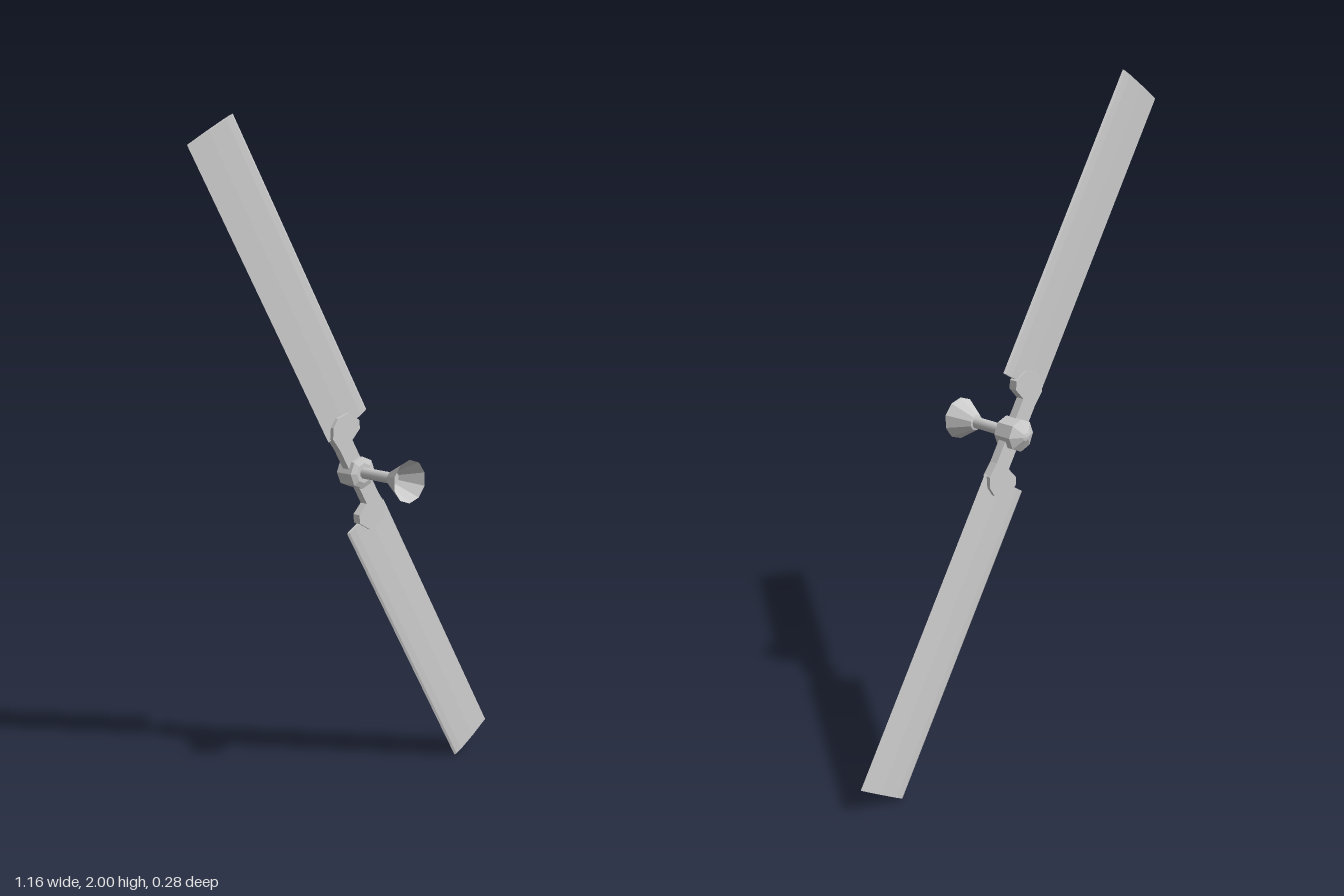
import * as THREE from 'three';

const flat = new THREE.MeshStandardMaterial({ color: 0xcccccc, flatShading: true, side: THREE.DoubleSide });
const smooth = new THREE.MeshStandardMaterial({ color: 0xcccccc });

function part(name, geometry, material = flat) {
  const mesh = new THREE.Mesh(geometry, material);
  mesh.name = name;
  return mesh;
}

// Profile of [radius, z] pairs turned about the z axis
function turned(profile, sides) {
  const points = profile.map(([r, z]) => new THREE.Vector2(r, z));
  return new THREE.LatheGeometry(points, sides).rotateX(Math.PI / 2);
}

function shapeOf(points) {
  return new THREE.Shape(points.map(([x, y]) => new THREE.Vector2(x, y)));
}

// One arm pointing along +y: a clamp and a thin airfoil blade
function createArm() {
  const arm = new THREE.Group();
  arm.name = 'rotorArm';

  const grip = new THREE.ExtrudeGeometry(shapeOf([
    [-0.03, 0], [0.025, 0], [0.025, 0.1], [0.066, 0.112], [0.077, 0.135],
    [0.053, 0.177], [0.01, 0.187], [-0.018, 0.173], [-0.036, 0.145], [-0.03, 0.1],
  ]), { depth: 0.027, bevelEnabled: false }).translate(0, 0, -0.0135);
  arm.add(part('bladeGrip', grip));

  // Airfoil section, extruded from root to tip
  const section = shapeOf([
    [-0.046, 0], [0.03, -0.005], [0.095, -0.006], [0.118, -0.004],
    [0.125, 0], [0.118, 0.004], [0.095, 0.006], [0.03, 0.005],
  ]);
  const blade = new THREE.ExtrudeGeometry(section, { depth: 0.945, bevelEnabled: false });
  blade.rotateX(-Math.PI / 2).translate(0, 0.14, 0);
  arm.add(part('blade', blade));
  return arm;
}

export function createModel() {
  const model = new THREE.Group();
  model.name = 'rotor';

  const head = new THREE.Group();
  head.name = 'rotorHead';
  head.position.y = 1;
  model.add(head);

  // Two arms half a turn apart
  for (let i = 0; i < 2; i++) {
    const arm = createArm();
    arm.rotation.z = Math.PI / 6 + i * Math.PI;
    arm.position.z = -0.084;
    head.add(arm);
  }

  // Faceted hub with a pointed cap
  head.add(part('hub', turned([
    [0, -0.14], [0.012, -0.138], [0.048, -0.118], [0.048, -0.057], [0.03, -0.05], [0, -0.05],
  ], 8)));

  // Shaft and its open flared base
  const shaft = new THREE.CylinderGeometry(0.017, 0.017, 0.13, 12).rotateX(Math.PI / 2).translate(0, 0, 0.01);
  head.add(part('shaft', shaft, smooth));
  head.add(part('flaredBase', turned([[0.017, 0.068], [0.024, 0.07], [0.063, 0.139]], 10)));

  return model;
}
